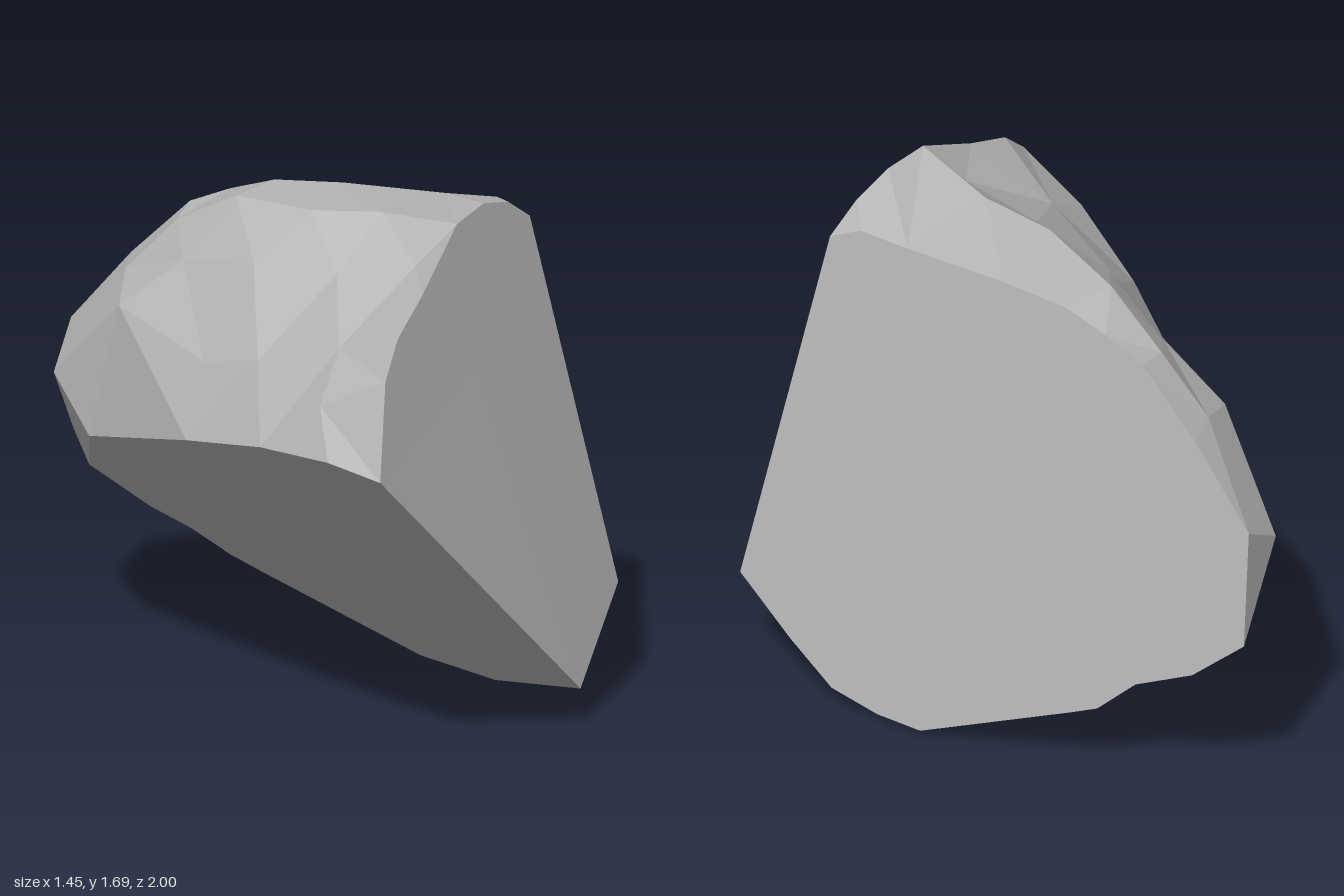
import * as THREE from 'three';

const V = (x, y, z) => new THREE.Vector3(x, y, z);
const CENTER = V(0, 0.8, 0);

// Points lying on the three flat cleaved planes
const onFront = (x, y) => V(x, y, 0.92 - 0.84 * x - 0.237 * y);
const onBack = (z, y) => V(0.548 - 0.173 * y + 1.018 * z, y, z);
const onUnder = (x, z) => V(x, Math.max(0, 0.364 - 0.87 * x + 0.369 * z), z);

// Triangle turned to face away from the middle of the rock
function tri(out, a, b, c) {
  if (a === b || b === c || a === c) return;
  const n = b.clone().sub(a).cross(c.clone().sub(a));
  const m = a.clone().add(b).add(c).divideScalar(3).sub(CENTER);
  const order = n.dot(m) < 0 ? [a, c, b] : [a, b, c];
  for (const p of order) out.push(p.x, p.y, p.z);
}

// Flat outline filled from its middle
function disc(out, ring) {
  const mid = V(0, 0, 0);
  for (const p of ring) mid.add(p);
  mid.divideScalar(ring.length);
  ring.forEach((p, i) => tri(out, mid, p, ring[(i + 1) % ring.length]));
}

// Fan from the first corner
function fan(out, ring) {
  for (let i = 1; i < ring.length - 1; i++) tri(out, ring[0], ring[i], ring[i + 1]);
}

// Join two rows of points, always across the shorter diagonal
function stitch(out, r, s) {
  let i = 0, j = 0;
  while (i < r.length - 1 || j < s.length - 1) {
    const stepR = j === s.length - 1 ||
      (i < r.length - 1 && r[i + 1].distanceTo(s[j]) <= r[i].distanceTo(s[j + 1]));
    if (stepR) { tri(out, r[i], r[i + 1], s[j]); i++; }
    else { tri(out, r[i], s[j], s[j + 1]); j++; }
  }
}

export function createModel() {
  const group = new THREE.Group();
  group.name = 'rock';
  const stone = new THREE.MeshStandardMaterial({ color: 0xb8b8b8 });
  stone.name = 'grey stone';

  const addPart = (name, fill) => {
    const out = [];
    fill(out);
    const geo = new THREE.BufferGeometry();
    geo.setAttribute('position', new THREE.Float32BufferAttribute(out, 3));
    geo.computeVertexNormals(); // unshared corners give flat facets
    const mesh = new THREE.Mesh(geo, stone);
    mesh.name = name;
    group.add(mesh);
  };

  // Shared corners at the right end
  const low = V(0.48, 0.13, 0.5), tip = V(0.72, 0.36, 0.23);
  const foot = onUnder(0.41, -0.01), keel = onBack(-0.27, 0.02);

  // Upper edge of the front plane, right to left
  const a = [[0.45, 1.57], [0.35, 1.65], [0.23, 1.69], [0.09, 1.68],
    [-0.11, 1.54], [-0.25, 1.46], [-0.33, 1.36], [-0.4, 1.08]].map(p => onFront(...p));

  // Upper and lower edges of the back plane
  const b = [[0.1, 1.62], [-0.02, 1.61], [-0.26, 1.6], [-0.42, 1.58], [-0.53, 1.53],
    [-0.63, 1.47], [-0.79, 1.27], [-0.96, 1.02]].map(p => onBack(...p));
  const bLow = [[-1, 0.64], [-0.89, 0.49], [-0.76, 0.4], [-0.68, 0.28],
    [-0.62, 0.24]].map(p => onBack(...p));
  const d = [[-0.16, 0.03], [-0.04, 0.07], [0.08, 0.19]].map(p => onBack(...p));

  // Left edge of the underside plane, front to back
  const c = [[-0.5, 0.82], [-0.59, 0.5], [-0.65, 0.056], [-0.71, -0.57], [-0.6, -0.83],
    [-0.41, -0.79], [-0.31, -0.71]].map(p => onUnder(...p));

  // Cleaved faces
  addPart('frontFace', o => disc(o, [...a, low, tip]));
  addPart('backFace', o => disc(o, [tip, a[0], ...b, ...bLow, keel, ...d]));
  addPart('underFace', o => disc(o, [a[7], low, foot, keel, bLow[4], bLow[3], ...c.slice().reverse()]));

  // Chipped corner at the lower right
  addPart('lowerChip', o => {
    fan(o, [low, tip, d[2], d[1], foot]);
    fan(o, [foot, d[1], d[0], keel]);
  });

  // Rough weathered side, as rows running front to back
  const top = b[7], shoulder = V(-0.55, 1.27, -0.66);
  const corner = V(-0.727, 0.905, -0.81), nose = V(-0.47, 1.24, 0.69);
  const crest = [V(-0.04, 1.645, 0.16), V(-0.2, 1.615, -0.02), V(-0.32, 1.58, -0.33),
    V(-0.43, 1.45, -0.54), shoulder];
  const upper = [V(-0.04, 1.55, 0.42), V(-0.22, 1.49, 0.23), V(-0.38, 1.46, -0.05),
    V(-0.48, 1.38, -0.37), shoulder];
  const lower = [V(-0.34, 1.36, 0.53), V(-0.48, 1.24, 0.22), V(-0.56, 1.17, -0.02),
    V(-0.64, 1.21, -0.5), corner];
  addPart('roughSide', o => {
    stitch(o, [a[1], a[0], ...b], [a[1], a[2], a[3], ...crest, top]);
    stitch(o, [a[3], ...crest], [a[3], ...upper]);
    stitch(o, [a[3], ...upper, top], [a[3], a[4], ...lower]);
    stitch(o, [a[4], ...lower], [a[4], a[5], a[6], nose, c[1], c[2], c[3]]);
    stitch(o, [a[6], nose, c[1]], [a[6], a[7], c[0], c[1]]);
  });

  // Blunt far end and the thin broken edge beneath it
  addPart('farEnd', o => {
    fan(o, [corner, c[3], c[4], bLow[0], top]);
    stitch(o, bLow.slice(0, 4), [c[4], c[5], c[6], bLow[3]]);
  });

  return group;
}
